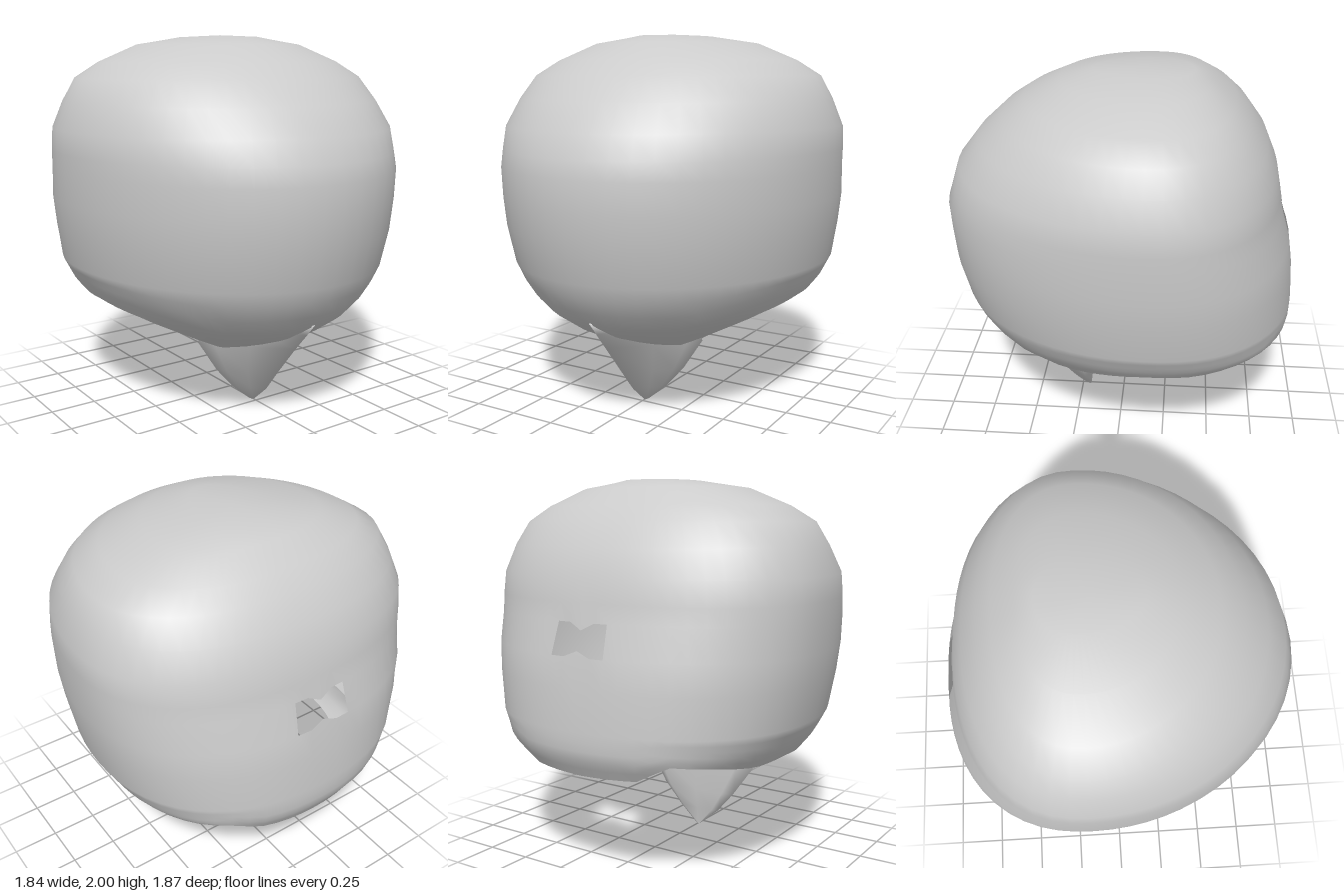
import * as THREE from 'three';
import { mergeVertices } from 'three/addons/utils/BufferGeometryUtils.js';

const COLS = 60, ZC = -0.15;

// linear lookup in a table whose first column is the key (ascending)
function lookup(table, key) {
  let i = 0;
  while (i < table.length - 2 && key > table[i + 1][0]) i++;
  const a = table[i], b = table[i + 1];
  const t = THREE.MathUtils.clamp((key - a[0]) / (b[0] - a[0]), 0, 1);
  return a.map((v, k) => v + (b[k] - v) * t);
}

// skin closed rings of points, top to bottom; skip(i, j) leaves a quad open
function loft(rings, skip = () => false) {
  const n = rings[0].length, index = [];
  for (let i = 0; i < rings.length - 1; i++) {
    for (let j = 0; j < n; j++) {
      if (skip(i, j)) continue;
      const k = (j + 1) % n;
      const a = i * n + j, b = a + n, c = (i + 1) * n + k, d = i * n + k;
      index.push(a, b, c, a, c, d);
    }
  }
  let geo = new THREE.BufferGeometry();
  geo.setAttribute('position', new THREE.Float32BufferAttribute(rings.flat(2), 3));
  geo.setIndex(index);
  geo = mergeVertices(geo, 1e-4);
  geo.computeVertexNormals();
  return geo;
}

// point on an egg-shaped outline, angle measured from the front towards +x
function outline(angle, y, w, front, back, power = 2.3) {
  const s = Math.sin(angle), c = Math.cos(angle);
  const n = c > 0 ? 2 : power;
  const depth = c > 0 ? front - ZC : ZC - back;
  const r = Math.pow(Math.pow(Math.abs(s) / w, n) + Math.pow(Math.abs(c) / depth, n), -1 / n);
  return [r * s, y, ZC + r * c];
}

// shell levels: height, half width, front z, back z
const LEVELS = [
  [0.38, 0.45, 0.42, -0.78], [0.47, 0.56, 0.60, -0.82], [0.57, 0.70, 0.74, -0.87],
  [0.68, 0.79, 0.82, -0.93], [0.80, 0.855, 0.87, -0.93], [1.00, 0.89, 0.92, -0.915],
  [1.15, 0.91, 0.932, -0.89], [1.31, 0.915, 0.94, -0.84], [1.40, 0.918, 0.91, -0.825],
  [1.52, 0.915, 0.87, -0.80], [1.66, 0.86, 0.76, -0.74], [1.78, 0.80, 0.63, -0.65],
  [1.86, 0.67, 0.51, -0.57], [1.95, 0.45, 0.33, -0.45], [1.99, 0.18, 0.16, -0.36],
];

// height of the lower rim: degrees from the front, y
const RIM = [
  [0, 0.39], [30, 0.38], [50, 0.50], [65, 0.58], [90, 0.62],
  [110, 0.61], [130, 0.65], [145, 0.67], [155, 0.58], [180, 0.57],
];

const angles = Array.from({ length: COLS }, (_, j) => (j / COLS) * Math.PI * 2);
const ringOf = fn => angles.map((a, j) => fn(a, j));
function rimHeight(a) {
  const deg = THREE.MathUtils.radToDeg(a);
  return lookup(RIM, Math.min(deg, 360 - deg))[1];
}
function shellPoint(a, y) {
  const [, w, f, b] = lookup(LEVELS, y);
  return outline(a, y, w, f, b);
}

function shellGeometry() {
  const rings = [ringOf(() => [0, 2, -0.1])];
  const upper = LEVELS.filter(l => l[0] >= 0.8).reverse();
  let slotRow = 0;
  for (const [y] of upper) {
    if (y === 1.31) slotRow = rings.length;
    rings.push(ringOf((a, j) => {
      // pinch the slot in its middle
      const pinch = j === COLS / 2 ? (y === 1.31 ? -0.035 : y === 1.15 ? 0.03 : 0) : 0;
      return shellPoint(a, y + pinch);
    }));
  }
  // lower rows run down to the wavy rim
  for (let t = 0.2; t < 1.01; t += 0.2) {
    rings.push(ringOf(a => shellPoint(a, THREE.MathUtils.lerp(0.8, rimHeight(a), t))));
  }
  const half = COLS / 2;
  return loft(rings, (i, j) => i === slotRow && j >= half - 2 && j < half + 2);
}

// underside turned inwards to the neck opening
function lipGeometry() {
  const rings = [0, 0.35, 0.7, 1].map(t => ringOf(a => {
    const p = shellPoint(a, rimHeight(a));
    const q = outline(a, 0.75, 0.44, 0.44, -0.76, 2.6);
    const out = p.map((v, k) => THREE.MathUtils.lerp(v, q[k], t));
    out[1] += 0.05 * Math.sin(Math.PI * t);
    return out;
  }));
  return loft(rings);
}

// beak levels: height, half width, front z, back z
function beakGeometry() {
  const levels = [
    [0.57, 0.28, 0.74, 0.18], [0.50, 0.34, 0.68, 0.17], [0.40, 0.36, 0.59, 0.17],
    [0.22, 0.235, 0.44, 0.17], [0.10, 0.13, 0.345, 0.19], [0.0, 0.012, 0.23, 0.2],
  ];
  const rings = levels.map(([y, w, f, b]) => {
    const z = t => THREE.MathUtils.lerp(b, f, t);
    const side = [[0.5, 0.62], [0.85, 0.3], [1, 0.13], [0.75, 0]];
    const right = side.map(([x, t]) => [w * x, y, z(t)]);
    const left = [...right].reverse().map(([x, yy, zz]) => [-x, yy, zz]);
    return [[0, y, f], ...right, [0, y, b], ...left];
  });
  const n = rings[0].length;
  rings.unshift(Array.from({ length: n }, () => [0, 0.56, 0.4]));
  rings.push(Array.from({ length: n }, () => [0, 0, 0.215]));
  return loft(rings);
}

export function createModel() {
  const group = new THREE.Group();
  const material = new THREE.MeshStandardMaterial({ color: 0xcccccc, side: THREE.DoubleSide });
  const add = (name, geometry) => {
    const mesh = new THREE.Mesh(geometry, material);
    mesh.name = name;
    group.add(mesh);
  };
  add('headShell', shellGeometry());
  add('innerLip', lipGeometry());
  add('beak', beakGeometry());
  return group;
}
